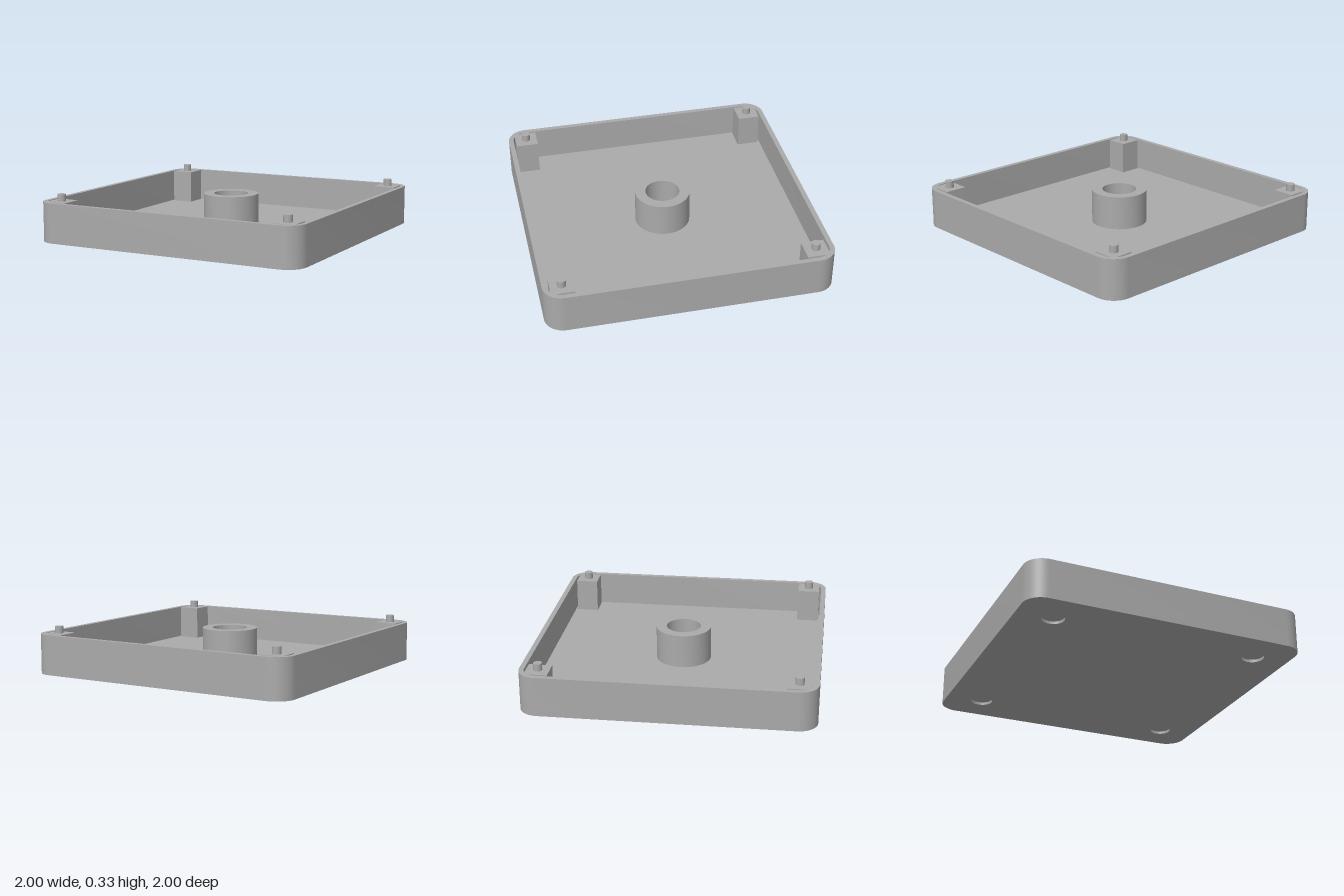
import * as THREE from 'three';
import { toCreasedNormals } from 'three/addons/utils/BufferGeometryUtils.js';

const HEIGHT = 0.28, FLOOR = 0.04, WELL = 0.02;
const CORNER = 0.865;              // centre of the rounded corners
const OUTER_R = 0.135, INNER_R = 0.1;
const POST_IN = 0.79, POST_OUT = 0.95;

// Points on an arc about a corner centre
function arc(radius, from, to, steps) {
  return Array.from({ length: steps + 1 }, (_, i) => {
    const a = from + (to - from) * i / steps;
    return new THREE.Vector2(CORNER + radius * Math.cos(a), CORNER + radius * Math.sin(a));
  });
}

// Repeat one corner's points around all four corners
function fourfold(points) {
  const origin = new THREE.Vector2();
  return [0, 1, 2, 3].flatMap(k =>
    points.map(p => p.clone().rotateAround(origin, k * Math.PI / 2)));
}

function circle(x, y, r) {
  return new THREE.Path().absarc(x, y, r, 0, Math.PI * 2, true);
}

// Extrude a plan shape upward between two heights
function slab(shape, y0, y1) {
  const geo = new THREE.ExtrudeGeometry(shape, { depth: y1 - y0, bevelEnabled: false, curveSegments: 32 });
  geo.rotateX(-Math.PI / 2).translate(0, y0, 0);
  return toCreasedNormals(geo, 0.6);
}

export function createModel() {
  const group = new THREE.Group();
  const grey = new THREE.MeshStandardMaterial({ color: 0xaaaaaa });
  grey.name = 'grey plastic';
  const add = (name, geo) => {
    const mesh = new THREE.Mesh(geo, grey);
    mesh.name = name;
    group.add(mesh);
    return mesh;
  };
  const outline = () => new THREE.Shape(fourfold(arc(OUTER_R, 0, Math.PI / 2, 16)));
  const corners = [[1, 1], [-1, 1], [-1, -1], [1, -1]];

  // Underside with four shallow round wells
  const base = outline();
  corners.forEach(([sx, sz]) => base.holes.push(circle(sx * 0.74, sz * 0.74, 0.077)));
  add('underside', slab(base, 0, WELL));

  // Solid floor
  add('floor', slab(outline(), WELL, FLOOR));

  // Thin walls joined to square corner posts, with a narrow gap along each post
  const a = Math.acos((POST_OUT - CORNER) / INNER_R);
  const cavity = fourfold([
    ...arc(INNER_R, 0, a, 6),
    new THREE.Vector2(POST_OUT, POST_IN),
    new THREE.Vector2(POST_IN, POST_IN),
    new THREE.Vector2(POST_IN, POST_OUT),
    ...arc(INNER_R, Math.PI / 2 - a, Math.PI / 2, 6),
  ]);
  const walls = outline();
  walls.holes.push(new THREE.Path(cavity));
  add('wallsAndPosts', slab(walls, FLOOR, HEIGHT));

  // Central hollow boss
  const ring = new THREE.Shape().absarc(0, 0, 0.197, 0, Math.PI * 2, false);
  ring.holes.push(circle(0, 0, 0.122));
  add('centreBoss', slab(ring, FLOOR, HEIGHT));

  // Locating pegs on the posts
  const peg = new THREE.CylinderGeometry(0.03, 0.03, 0.05, 32);
  corners.forEach(([sx, sz]) =>
    add('peg', peg).position.set(sx * 0.87, HEIGHT + 0.025, sz * 0.87));

  return group;
}
